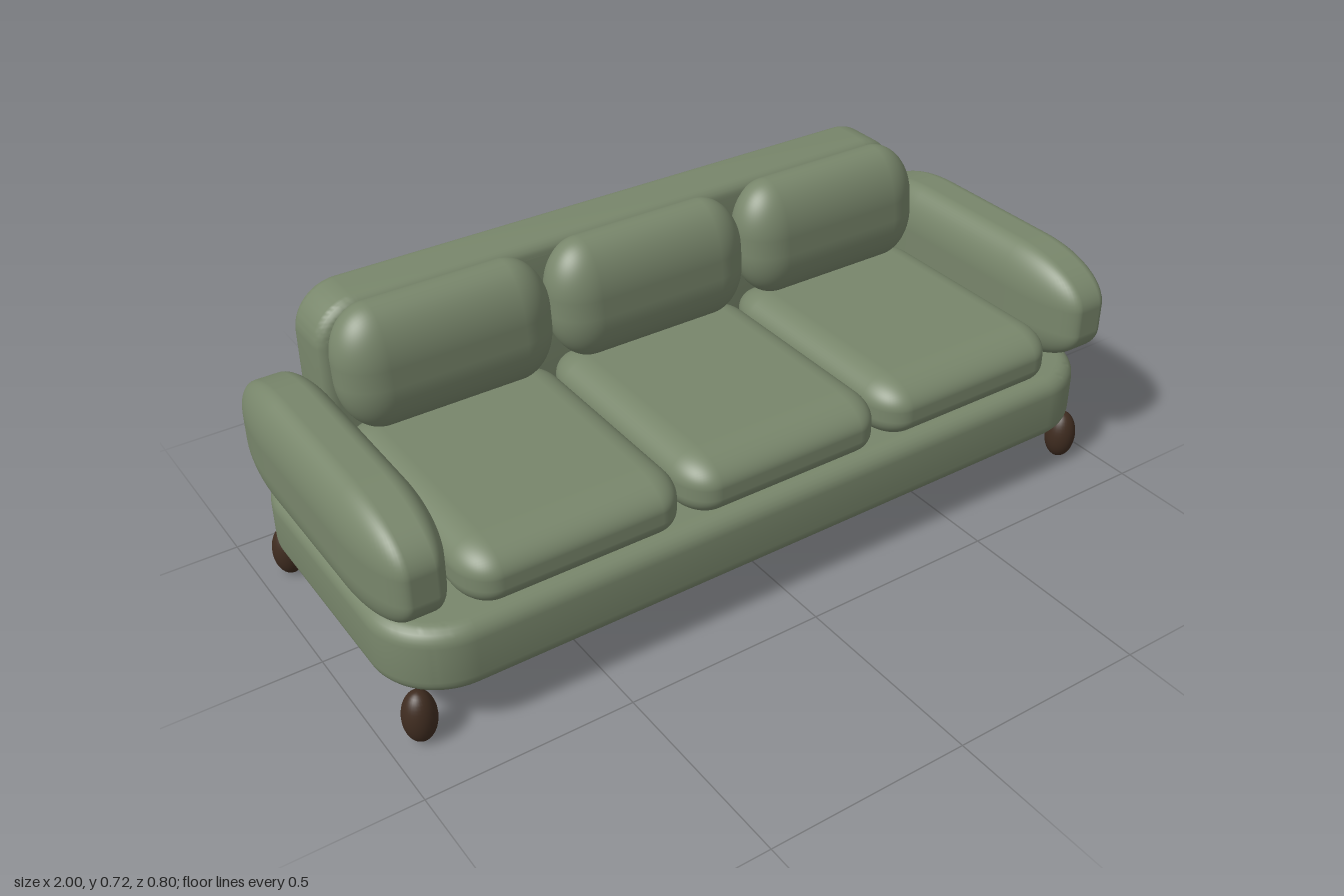
import * as THREE from 'three';
import { toCreasedNormals } from 'three/addons/utils/BufferGeometryUtils.js';

// Box with ellipsoidal corners: separate rounding radius along each axis
function softBox(w, h, d, rx, ry, rz) {
  const n = 17, half = [w / 2, h / 2, d / 2], r = [rx, ry, rz];
  const geo = new THREE.BoxGeometry(1, 1, 1, n, n, n);
  const pos = geo.attributes.position, nor = geo.attributes.normal;
  const dir = new THREE.Vector3(), normal = new THREE.Vector3();
  const spread = (v) => {
    const t = Math.max(0, (Math.abs(v) - 0.5 / n) / (0.5 - 0.5 / n));
    return Math.sign(v) * Math.tan(t * Math.PI / 4);
  };
  for (let i = 0; i < pos.count; i++) {
    const p = [pos.getX(i), pos.getY(i), pos.getZ(i)];
    dir.set(...p.map(spread)).normalize();
    const u = dir.toArray();
    pos.setXYZ(i, ...u.map((c, k) => c * r[k] + Math.sign(p[k]) * (half[k] - r[k])));
    normal.set(u[0] / rx, u[1] / ry, u[2] / rz).normalize();
    nor.setXYZ(i, normal.x, normal.y, normal.z);
  }
  return geo;
}

// Rounded-rectangle slab, centred, extruded along z with a soft bevel
function slab(w, h, depth, radius, bevel) {
  const x = w / 2 - bevel, y = h / 2 - bevel, r = radius - bevel;
  const s = new THREE.Shape();
  s.absarc(x - r, y - r, r, 0, Math.PI / 2);
  s.absarc(-x + r, y - r, r, Math.PI / 2, Math.PI);
  s.absarc(-x + r, -y + r, r, Math.PI, Math.PI * 1.5);
  s.absarc(x - r, -y + r, r, Math.PI * 1.5, Math.PI * 2);
  s.closePath();
  const geo = new THREE.ExtrudeGeometry(s, {
    depth: depth - 2 * bevel, bevelSize: bevel, bevelThickness: bevel,
    bevelSegments: 6, curveSegments: 12,
  });
  geo.translate(0, 0, bevel - depth / 2);
  return toCreasedNormals(geo, 0.7);
}

export function createModel() {
  const sofa = new THREE.Group();
  sofa.name = 'sofa';
  const fabric = new THREE.MeshStandardMaterial({ color: 0x78866b });
  fabric.name = 'sage fabric';
  const wood = new THREE.MeshStandardMaterial({ color: 0x3f2c20 });
  wood.name = 'dark wood';

  const add = (name, geo, mat, x, y, z) => {
    const mesh = new THREE.Mesh(geo, mat);
    mesh.name = name;
    mesh.position.set(x, y, z);
    sofa.add(mesh);
  };

  // Base platform
  add('base', slab(1.95, 0.8, 0.17, 0.17, 0.04).rotateX(-Math.PI / 2), fabric, 0, 0.209, 0);

  // Backrest
  add('backrest', slab(1.64, 0.425, 0.15, 0.11, 0.032), fabric, 0, 0.506, -0.325);

  // Seat and back cushions
  const seat = softBox(0.536, 0.147, 0.65, 0.075, 0.06, 0.1);
  const back = softBox(0.536, 0.295, 0.17, 0.1, 0.125, 0.084);
  const p = back.attributes.position;
  for (let i = 0; i < p.count; i++) p.setZ(i, p.getZ(i) - 0.1 * p.getY(i)); // slight recline
  for (const i of [-1, 0, 1]) {
    add('seatCushion', seat, fabric, i * 0.541, 0.3675, 0.073);
    add('backCushion', back, fabric, i * 0.541, 0.576, -0.204);
  }

  // Arms and feet
  const arm = softBox(0.185, 0.285, 0.8, 0.065, 0.11, 0.22);
  const foot = new THREE.SphereGeometry(1, 28, 20).scale(0.039, 0.066, 0.039);
  for (const sx of [-1, 1]) {
    add(sx > 0 ? 'leftArm' : 'rightArm', arm, fabric, sx * 0.9075, 0.4355, 0);
    for (const sz of [-1, 1]) {
      add(sz > 0 ? 'frontFoot' : 'backFoot', foot, wood, sx * 0.925, 0.066, sz * 0.34);
    }
  }
  return sofa;
}
